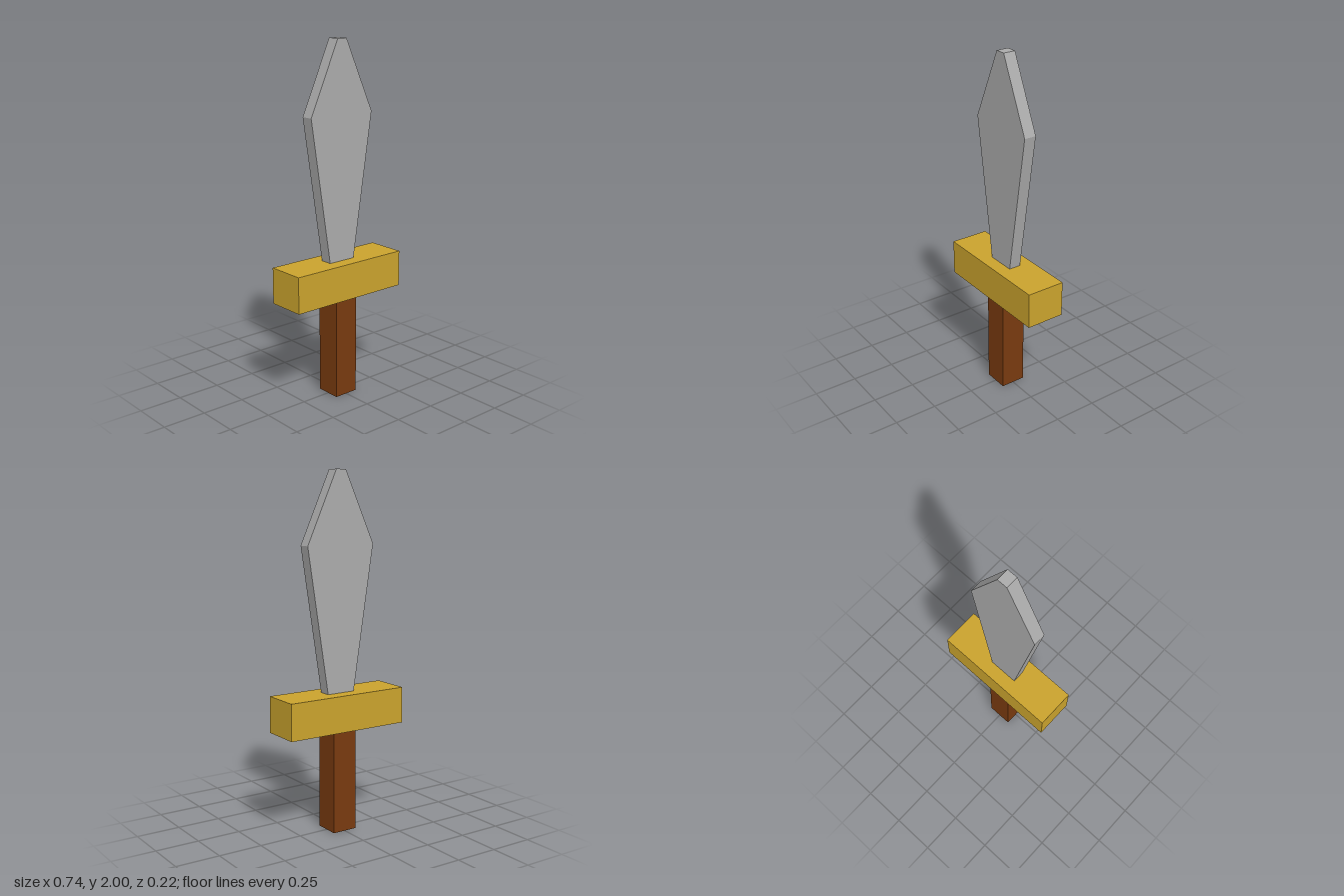
import * as THREE from 'three';

const steel = new THREE.MeshStandardMaterial({ name: 'steel grey', color: 0xaaaaaa, flatShading: true });
const gold = new THREE.MeshStandardMaterial({ name: 'gold', color: 0xc9a22d, flatShading: true });
const wood = new THREE.MeshStandardMaterial({ name: 'brown wood', color: 0x783a0f, flatShading: true });

export function createModel() {
  const sword = new THREE.Group();
  sword.name = 'sword';

  const add = (name, geometry, material, y = 0) => {
    const mesh = new THREE.Mesh(geometry, material);
    mesh.name = name;
    mesh.position.y = y;
    sword.add(mesh);
  };

  // Square grip and crossguard
  add('grip', new THREE.BoxGeometry(0.146, 0.583, 0.146), wood, 0.2915);
  add('crossguard', new THREE.BoxGeometry(0.736, 0.205, 0.224), gold, 0.6855);

  // Leaf-shaped blade: mirrored half outline, flat faces, blunt tip
  const half = [[0.085, 0.788], [0.212, 1.6], [0.03, 2]];
  const outline = [...half, ...half.map(([x, y]) => [-x, y]).reverse()];
  const shape = new THREE.Shape(outline.map(([x, y]) => new THREE.Vector2(x, y)));
  const blade = new THREE.ExtrudeGeometry(shape, { depth: 0.07, bevelEnabled: false });
  blade.translate(0, 0, -0.035);
  add('blade', blade, steel);

  return sword;
}
